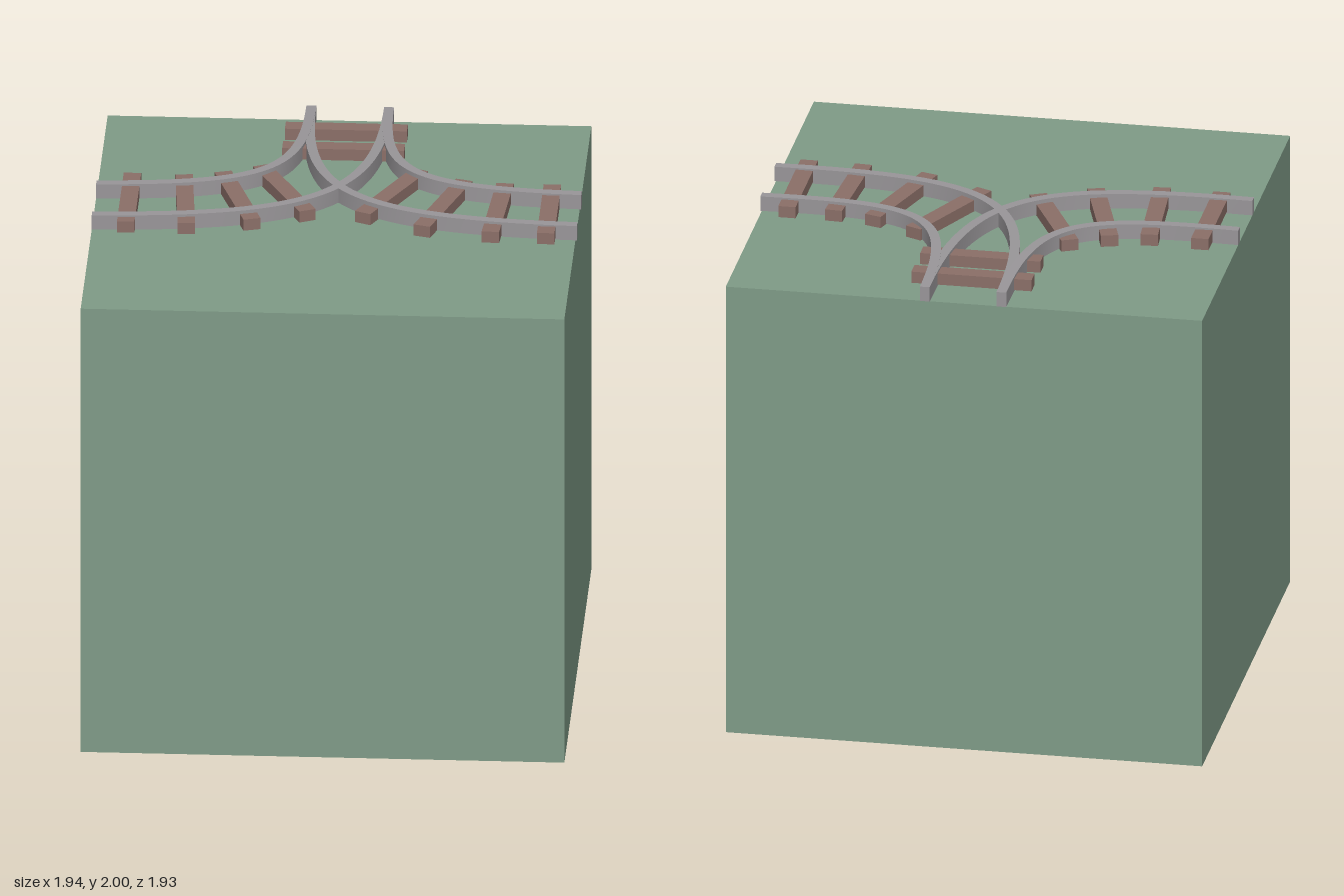
import * as THREE from 'three';

const GROUND = 1.926;

function box(name, w, h, d, material) {
  const mesh = new THREE.Mesh(new THREE.BoxGeometry(w, h, d), material);
  mesh.name = name;
  return mesh;
}

// A rectangular bar bent along a curve in the ground plane, rising slightly mid-way
function bentRail(name, curve, material) {
  const width = 0.04, height = 0.062;
  const geometry = new THREE.BoxGeometry(width, height, 1, 1, 1, 32);
  const pos = geometry.attributes.position;
  for (let i = 0; i < pos.count; i++) {
    const t = THREE.MathUtils.clamp(pos.getZ(i) + 0.5, 0, 1);
    const p = curve.getPoint(t);
    const d = curve.getTangent(t);
    const side = pos.getX(i);
    const y = GROUND + height / 2 + pos.getY(i) + 0.012 * Math.sin(Math.PI * t);
    pos.setXYZ(i, p.x + d.z * side, y, p.z - d.x * side);
  }
  geometry.computeVertexNormals();
  const mesh = new THREE.Mesh(geometry, material);
  mesh.name = name;
  return mesh;
}

export function createModel() {
  const model = new THREE.Group();
  model.name = 'railJunctionBlock';
  const green = new THREE.MeshStandardMaterial({ color: 0x7f9b87 });
  const brown = new THREE.MeshStandardMaterial({ color: 0x8b6f68 });
  const steel = new THREE.MeshStandardMaterial({ color: 0x999699 });

  // Ground block
  const ground = box('groundBlock', 1.93, GROUND, 1.93, green);
  ground.position.set(-0.003, GROUND / 2, 0);
  model.add(ground);

  // Rails: a tight inner and a wide outer curve for each branch
  const gauge = 0.155, end = 0.968;
  for (const side of [-1, 1]) {
    const label = side > 0 ? 'left' : 'right';
    // offset: signed distance of the rail from the track centre; a: bend control
    const rail = (offset, a) => new THREE.CubicBezierCurve3(
      new THREE.Vector3(side * end, 0, offset),
      new THREE.Vector3(side * a, 0, offset),
      new THREE.Vector3(-side * offset, 0, -a),
      new THREE.Vector3(-side * offset, 0, -end)
    );
    model.add(bentRail(label + 'InnerRail', rail(-gauge, 0.285), steel));
    model.add(bentRail(label + 'OuterRail', rail(gauge, 0.07), steel));
  }

  // Sleepers: x, z, turn about the vertical
  const sleepers = [
    [-0.005, -0.777, Math.PI / 2], [-0.005, -0.583, Math.PI / 2],
    [-0.83, -0.026, 0], [-0.606, -0.023, 0.075], [-0.4, -0.07, 0.295], [-0.218, -0.155, 0.444],
    [0.847, -0.003, 0], [0.642, -0.005, -0.065], [0.422, -0.04, -0.3], [0.21, -0.145, -0.435]
  ];
  for (const [x, z, turn] of sleepers) {
    const sleeper = box('sleeper', 0.07, 0.048, 0.487, brown);
    sleeper.position.set(x, 1.959, z);
    sleeper.rotation.y = turn;
    model.add(sleeper);
  }
  return model;
}
